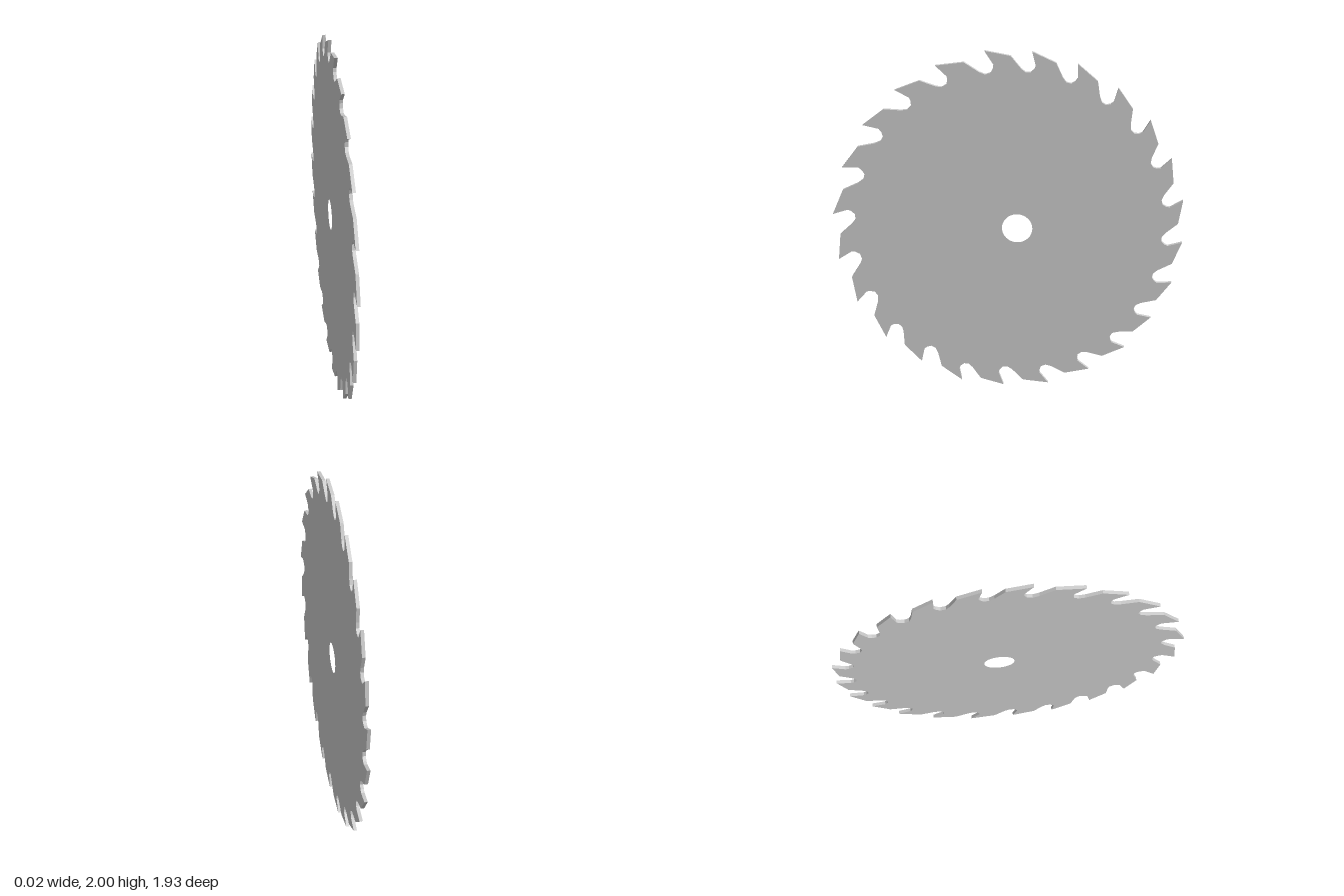
import * as THREE from 'three';

const THICKNESS = 0.018;

// Tooth tips as (z, y), from the top round towards +z; the spacing is slightly uneven
const TIPS = [
  [0.12, 2.0], [0.38, 1.915], [0.6, 1.777], [0.78, 1.577], [0.905, 1.33], [0.97, 1.053],
  [0.95, 0.778], [0.857, 0.513], [0.7, 0.29], [0.497, 0.14], [0.265, 0.025], [0.022, 0.003],
  [-0.237, 0.025], [-0.47, 0.125], [-0.67, 0.275], [-0.812, 0.47], [-0.917, 0.693], [-0.963, 0.938],
  [-0.955, 1.187], [-0.882, 1.425], [-0.76, 1.638], [-0.585, 1.812], [-0.37, 1.938], [-0.13, 2.0],
];

// Gullet between two tips: fraction along the chord, depth as a fraction of its length
const GULLET = [[-0.08, 0.31], [-0.05, 0.38], [0.02, 0.45], [0.13, 0.45], [0.23, 0.37], [0.45, 0.1]];

function bladeOutline() {
  const points = [];
  TIPS.forEach(([z, y], i) => {
    const next = TIPS[(i + 1) % TIPS.length];
    const dz = next[0] - z;
    const dy = next[1] - y;
    points.push(new THREE.Vector2(z, y));
    for (const [t, d] of GULLET) {
      points.push(new THREE.Vector2(z + dz * t + dy * d, y + dy * t - dz * d));
    }
  });
  return new THREE.Shape(points);
}

export function createModel() {
  const group = new THREE.Group();
  group.name = 'circularSawBlade';

  // Toothed disc with the arbor hole a little off centre
  const shape = bladeOutline();
  const hole = new THREE.Path();
  hole.absarc(-0.055, 0.997, 0.084, 0, Math.PI * 2, true);
  shape.holes.push(hole);

  const geometry = new THREE.ExtrudeGeometry(shape, {
    depth: THICKNESS, bevelEnabled: false, curveSegments: 20,
  });
  geometry.translate(0, 0, -THICKNESS / 2);
  geometry.rotateY(-Math.PI / 2);

  const blade = new THREE.Mesh(geometry, new THREE.MeshStandardMaterial({ color: 0xcccccc }));
  blade.name = 'toothedBlade';
  group.add(blade);
  return group;
}
